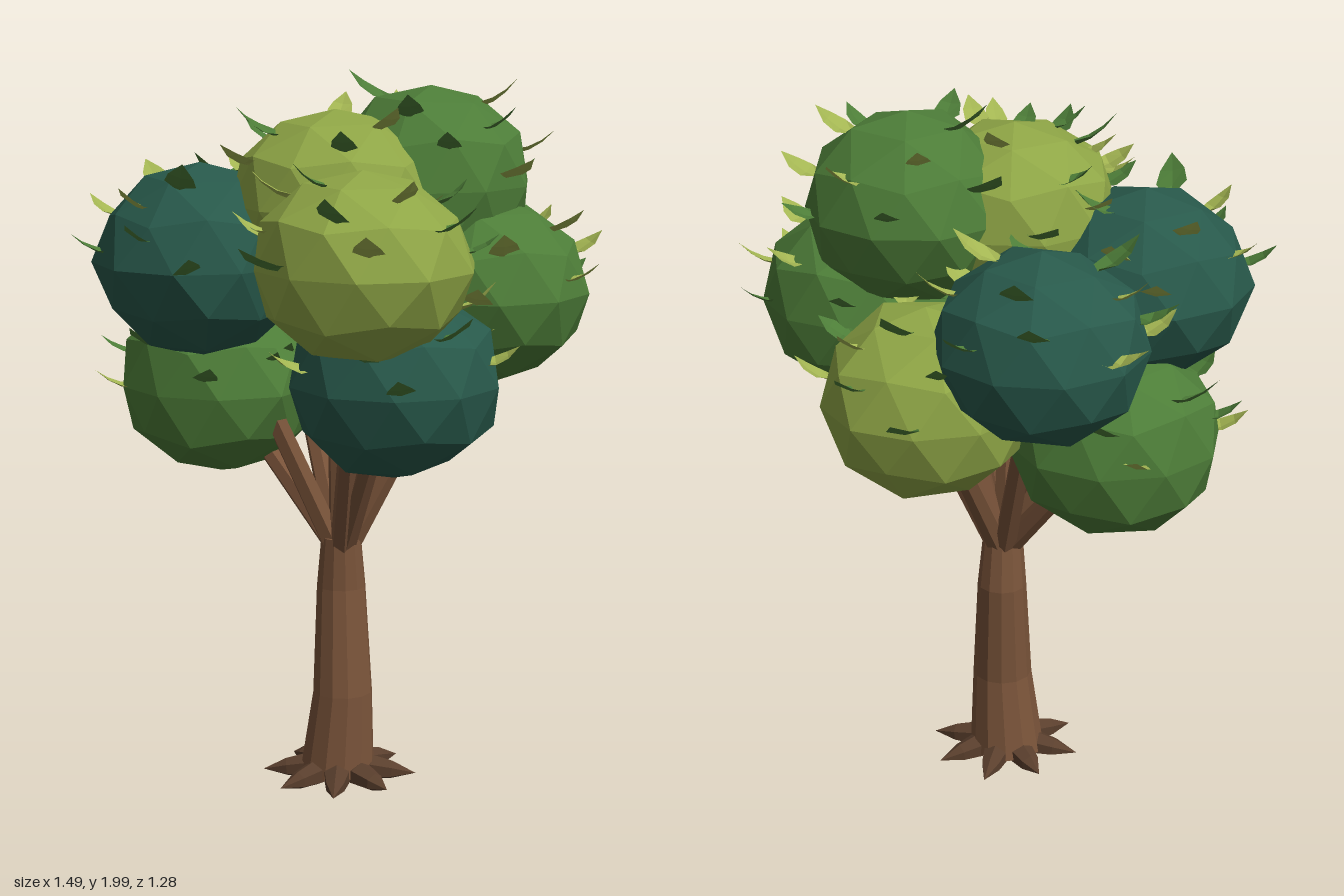
import * as THREE from 'three';
import { mergeGeometries } from 'three/addons/utils/BufferGeometryUtils.js';

const paint = (color, side = THREE.FrontSide) =>
  new THREE.MeshStandardMaterial({ color, side, flatShading: true });
const COLORS = { teal: 0x28594b, green: 0x4d7d38, lime: 0x8fa646, bark: 0x7a543a, root: 0x5a3f2d };
const LEAF_COLORS = { green: 0x4d7d38, lime: 0xa3b552 };
const UP = new THREE.Vector3(0, 1, 0);

// small seeded generator
function seeded(seed) {
  return () => {
    seed = (seed * 16807) % 2147483647;
    return seed / 2147483647;
  };
}

// move every vertex of a geometry by a rule
function reshape(geo, rule) {
  const p = geo.attributes.position, v = new THREE.Vector3();
  for (let i = 0; i < p.count; i++) {
    v.fromBufferAttribute(p, i);
    rule(v);
    p.setXYZ(i, v.x, v.y, v.z);
  }
  geo.computeVertexNormals();
  return geo;
}

// foliage: colour, centre, half width, half height
const FOLIAGE = [
  ['teal', [-0.37, 1.47, -0.13], 0.275, 0.25],
  ['teal', [-0.165, 1.495, 0.3], 0.282, 0.255],
  ['lime', [0.1, 1.655, 0.05], 0.28, 0.25],
  ['green', [0.17, 1.695, -0.23], 0.275, 0.255],
  ['lime', [0.44, 1.54, 0.25], 0.283, 0.245],
  ['teal', [0.395, 1.22, 0.1], 0.278, 0.25],
  ['green', [-0.285, 1.125, 0.145], 0.283, 0.255],
  ['green', [0.32, 1.41, -0.3], 0.275, 0.25],
  ['lime', [-0.12, 1.275, -0.33], 0.275, 0.255],
];

// coarse faceted ball with a corner on top, slightly uneven
function clumpGeometry(r, h, k) {
  const ball = new THREE.IcosahedronGeometry(1, 1).rotateZ(-Math.atan(2 / (1 + Math.sqrt(5))));
  return reshape(ball.rotateY(k * 1.3), (v) => {
    const s = 1.02 + 0.025 * Math.sin(11 * v.x + k) * Math.sin(13 * v.y + 2 * k) + 0.015 * Math.sin(12 * v.z + 3 * k);
    v.set(v.x * r * s, v.y * h * s, v.z * r * s);
  });
}

// pointed leaf along +z, folded along its rib, tip curling up
function leafGeometry() {
  const width = [0.018, 0.038, 0.03, 0];
  const geo = new THREE.PlaneGeometry(2, 1, 2, 3);
  return reshape(geo, (v) => {
    const t = v.y + 0.5, w = width[Math.round(t * 3)];
    v.set(-v.x * w, 0.05 * t * t + 0.012 * Math.abs(v.x) * (1 - t), 0.115 * t);
  });
}

// is the point swallowed by a clump other than its own?
const buried = (p, own) => FOLIAGE.some(([, c, r, h], i) => i !== own &&
  Math.hypot((p.x - c[0]) / r, (p.y - c[1]) / h, (p.z - c[2]) / r) < 0.98);

function addLeaves(group, own, rand) {
  const [, c, r, h] = FOLIAGE[own];
  const sets = { green: [], lime: [] };
  const count = 15, o = new THREE.Object3D();
  o.rotation.order = 'YXZ';
  for (let i = 0; i < count; i++) {
    // spiral over the upper part of the clump
    const ny = -0.05 + 0.97 * ((i + 0.5) / count);
    const a = i * 2.4 + own + (rand() - 0.5) * 0.5;
    const flat = Math.sqrt(1 - ny * ny);
    o.position.set(c[0] + Math.sin(a) * flat * r * 0.9, c[1] + ny * h * 0.95, c[2] + Math.cos(a) * flat * r * 0.9);
    o.rotation.set(-0.08 - 0.2 * Math.max(ny, 0), a + (rand() - 0.5) * 0.8, (rand() - 0.5) * 0.5);
    o.scale.setScalar(0.85 + rand() * 0.3);
    o.updateMatrix();
    const tone = rand() < 0.45 ? 'green' : 'lime';
    if (!buried(o.position, own)) sets[tone].push(leafGeometry().applyMatrix4(o.matrix));
  }
  for (const tone of ['green', 'lime']) {
    if (!sets[tone].length) continue;
    const mesh = new THREE.Mesh(mergeGeometries(sets[tone]), paint(LEAF_COLORS[tone], THREE.DoubleSide));
    mesh.name = tone + 'Leaves';
    group.add(mesh);
  }
}

// trunk: rings along a gently bent line
function trunkGeometry() {
  const rings = [[0.05, 0.03, 0, 0.106], [0.068, 0.27, -0.005, 0.084], [0.046, 0.57, -0.018, 0.069], [0.055, 0.715, -0.01, 0.056]];
  return reshape(new THREE.CylinderGeometry(1, 1, 1, 12, 3), (v) => {
    const [x, y, z, r] = rings[Math.round((v.y + 0.5) * 3)];
    v.set(x + v.x * r, y, z + v.z * r);
  });
}

// straight tapered limb between two points
function limb(from, to, r0, r1, material) {
  const dir = to.clone().sub(from);
  const mesh = new THREE.Mesh(new THREE.CylinderGeometry(r1, r0, dir.length(), 6), material);
  mesh.position.copy(from).addScaledVector(dir, 0.5);
  mesh.quaternion.setFromUnitVectors(UP, dir.normalize());
  return mesh;
}

// root: spike lying flat, pointed outwards
function rootGeometry(length) {
  const profile = [[0, 0], [0.04, 0.09], [0.029, 0.15], [0, length]].map(([x, y]) => new THREE.Vector2(x, y));
  return new THREE.LatheGeometry(profile, 6).rotateX(Math.PI / 2).scale(1, 0.9, 1);
}

export function createModel() {
  const tree = new THREE.Group();
  tree.name = 'tree';
  const bark = paint(COLORS.bark), rootBark = paint(COLORS.root);

  const trunk = new THREE.Mesh(trunkGeometry(), bark);
  trunk.name = 'trunk';
  tree.add(trunk);

  // star of roots
  const roots = new THREE.Group();
  roots.name = 'roots';
  for (let i = 0; i < 8; i++) {
    const root = new THREE.Mesh(rootGeometry(i % 4 === 2 ? 0.205 : 0.218), rootBark);
    root.name = 'root';
    root.position.set(0.06, 0.052, 0);
    root.rotation.set(0.12, (i * Math.PI) / 4, 0, 'YXZ');
    roots.add(root);
  }
  tree.add(roots);

  // one branch into every clump
  const branches = new THREE.Group();
  branches.name = 'branches';
  for (const [, c] of FOLIAGE) {
    const end = new THREE.Vector3(...c);
    const start = new THREE.Vector3(0.055, 0.69, -0.01);
    start.x += (end.x - start.x) * 0.05;
    start.z += (end.z - start.z) * 0.05;
    const branch = limb(start, end, 0.034, 0.025, bark);
    branch.name = 'branch';
    branches.add(branch);
  }
  tree.add(branches);

  // crown of clumps, each with its leaves
  const crown = new THREE.Group();
  crown.name = 'crown';
  const rand = seeded(4711);
  FOLIAGE.forEach(([tone, c, r, h], i) => {
    const group = new THREE.Group();
    group.name = 'foliage';
    const clump = new THREE.Mesh(clumpGeometry(r, h, i), paint(COLORS[tone]));
    clump.name = 'foliageClump';
    clump.position.set(...c);
    group.add(clump);
    addLeaves(group, i, rand);
    crown.add(group);
  });
  tree.add(crown);
  return tree;
}
